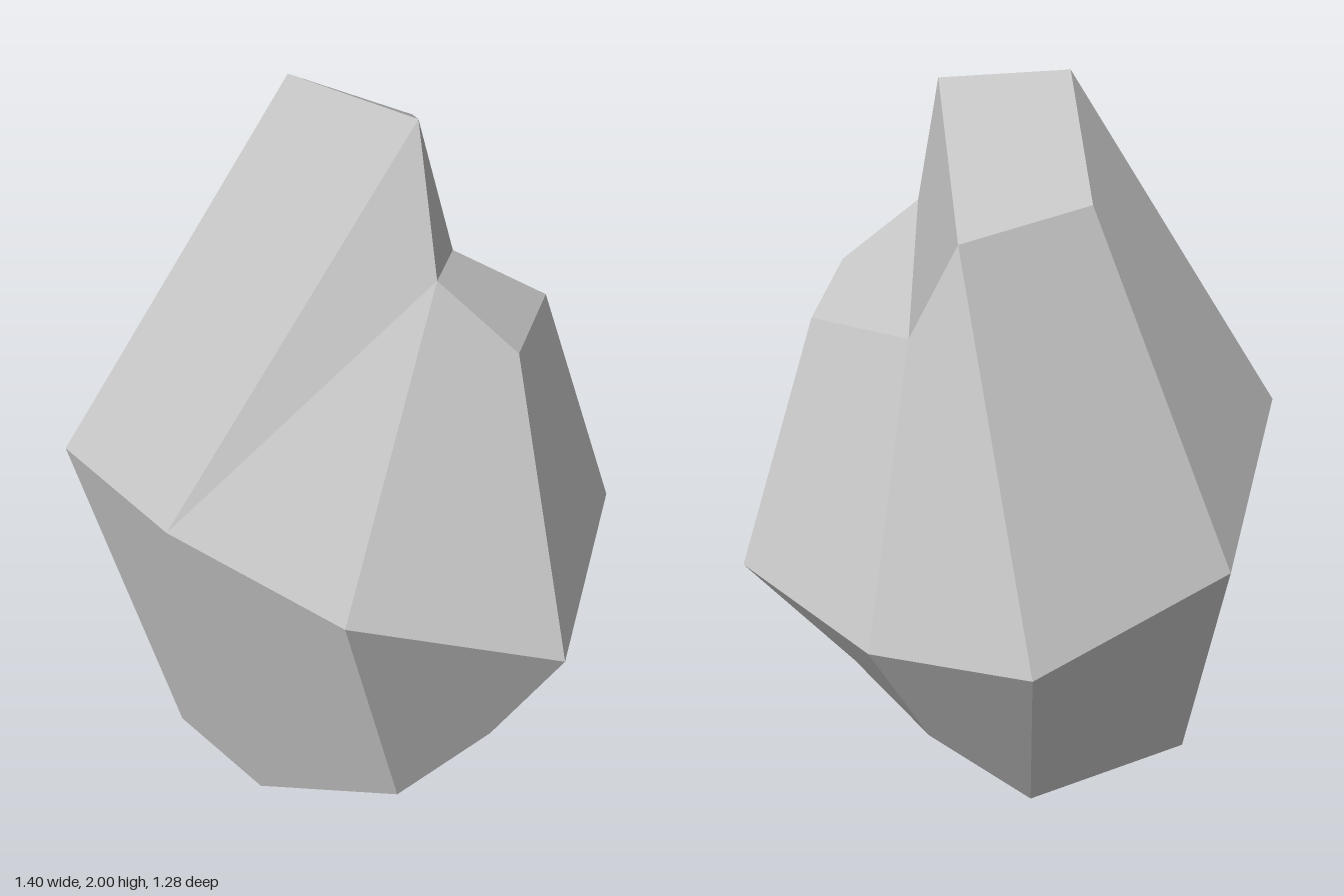
import * as THREE from 'three';

// Three matching eight-sided cross-sections, counterclockwise seen from above.
const base = [
  [-0.54, 0.26, 0.14], [-0.26, 0.05, 0.42], [0.05, 0, 0.36], [0.36, 0.08, 0.12],
  [0.42, 0.2, -0.15], [0.32, 0.28, -0.27], [0.04, 0.16, -0.24], [-0.33, 0.15, -0.21],
];
const girdle = [
  [-0.7, 0.9, 0.09], [-0.36, 1.04, 0.64], [0.04, 1.0, 0.59], [0.44, 0.85, 0.35],
  [0.7, 0.68, -0.13], [0.32, 0.75, -0.61], [-0.22, 0.77, -0.64], [-0.59, 0.8, -0.46],
];
const crown = [
  [-0.27, 1.73, 0.03], [-0.12, 2.0, 0.1], [0.16, 1.95, -0.06], [0.28, 1.6, -0.03],
  [0.43, 1.43, -0.16], [0.24, 1.41, -0.41], [-0.04, 1.43, -0.34], [-0.23, 1.73, -0.35],
];

const pick = (ring, corners) => corners.map((i) => ring[i]);

// Mesh of polygon facets: each is a fan from its first corner with one flat normal
function facets(name, polygons, material) {
  const positions = [];
  const normals = [];
  for (const polygon of polygons) {
    const [origin, ...rest] = polygon.map((p) => new THREE.Vector3(...p));
    const normal = new THREE.Vector3();
    const corners = [];
    for (let i = 0; i < rest.length - 1; i++) {
      corners.push(origin, rest[i], rest[i + 1]);
      normal.add(rest[i].clone().sub(origin).cross(rest[i + 1].clone().sub(origin)));
    }
    normal.normalize();
    for (const corner of corners) {
      positions.push(...corner.toArray());
      normals.push(...normal.toArray());
    }
  }
  const geometry = new THREE.BufferGeometry();
  geometry.setAttribute('position', new THREE.Float32BufferAttribute(positions, 3));
  geometry.setAttribute('normal', new THREE.Float32BufferAttribute(normals, 3));
  const mesh = new THREE.Mesh(geometry, material);
  mesh.name = name;
  return mesh;
}

export function createModel() {
  const group = new THREE.Group();
  group.name = 'rock';
  const stone = new THREE.MeshStandardMaterial({ color: 0xc6c6c6 });
  stone.name = 'pale grey stone';

  // Side facets below and above the widest section
  const lower = [];
  const upper = [];
  for (let i = 0; i < 8; i++) {
    const j = (i + 1) % 8;
    lower.push([base[i], base[j], girdle[j], girdle[i]]);
    if (i === 2) {
      // Creased facet where the shoulder breaks away from the peak
      upper.push([girdle[i], girdle[j], crown[j]], [girdle[i], crown[j], crown[i]]);
    } else {
      upper.push([girdle[j], crown[j], crown[i], girdle[i]]);
    }
  }

  group.add(
    facets('lowerFacets', lower, stone),
    facets('upperFacets', upper, stone),
    // Peak, step below it and lower shoulder
    facets('peak', [pick(crown, [1, 2, 7, 0])], stone),
    facets('step', [pick(crown, [2, 3, 6, 7])], stone),
    facets('shoulder', [pick(crown, [4, 5, 6, 3])], stone),
    // Underside, with a chipped corner
    facets('underside', [
      pick(base, [2, 1, 7, 6, 3]),
      pick(base, [1, 0, 7]),
      pick(base, [6, 5, 4]),
      pick(base, [6, 4, 3]),
    ], stone),
  );
  return group;
}
